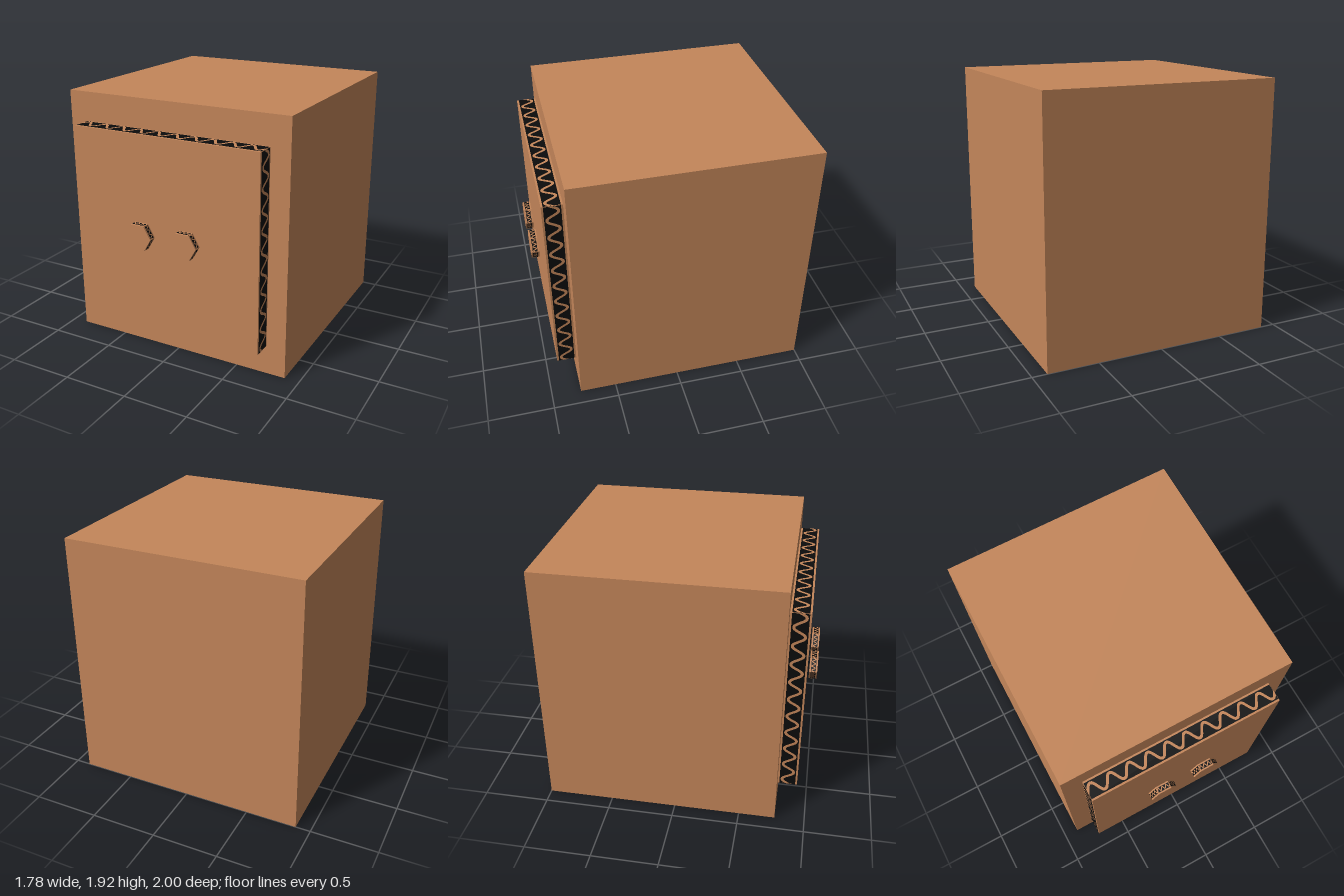
import * as THREE from 'three';

const cardboard = new THREE.MeshStandardMaterial({ color: 0xc4865a });
cardboard.name = 'cardboard brown';
const hollow = new THREE.MeshStandardMaterial({ color: 0x0c0c0c });
hollow.name = 'hollow black';

function add(parent, name, geometry, material, x = 0, y = 0, z = 0) {
  const mesh = new THREE.Mesh(geometry, material);
  mesh.name = name;
  mesh.position.set(x, y, z);
  parent.add(mesh);
  return mesh;
}

// Wavy ribbon running along x, centred on the origin
function ribbonShape(length, waves, amplitude, thickness) {
  const steps = waves * 16;
  const upper = [], lower = [];
  for (let i = 0; i <= steps; i++) {
    const t = i / steps;
    const phase = (t * waves - 0.27) * Math.PI * 2;
    const y = amplitude * Math.cos(phase);
    const slope = -amplitude * Math.sin(phase) * Math.PI * 2 * waves / length;
    const half = thickness / 2 * Math.min(Math.hypot(1, slope), 2.2);
    const x = (t - 0.5) * length;
    upper.push(new THREE.Vector2(x, y + half));
    lower.push(new THREE.Vector2(x, y - half));
  }
  return new THREE.Shape(lower.concat(upper.reverse()));
}

// Corrugated edges laid around a regular prism whose axis is z
function addCorrugation(parent, sides, apothem, length, depth, waves, amplitude, thickness) {
  const gaps = new THREE.PlaneGeometry(length, depth);
  const wave = new THREE.ShapeGeometry(ribbonShape(length, waves, amplitude, thickness));
  for (let k = 0; k < sides; k++) {
    const edge = new THREE.Group();
    edge.name = 'corrugatedEdge';
    edge.rotation.z = -k * Math.PI * 2 / sides;
    add(edge, 'edgeGaps', gaps, hollow, 0, apothem + 0.0015).rotation.x = -Math.PI / 2;
    add(edge, 'edgeWave', wave, cardboard, 0, apothem + 0.003).rotation.x = -Math.PI / 2;
    parent.add(edge);
  }
}

export function createModel() {
  const model = new THREE.Group();
  model.name = 'cardboardBox';

  // Main body
  add(model, 'body', new THREE.BoxGeometry(1.776, 1.925, 1.775), cardboard, 0, 0.9625, -0.1125);

  // Square front panel with corrugated edges
  const panel = new THREE.Group();
  panel.name = 'frontPanel';
  panel.position.set(0, 0.965, 0.849);
  add(panel, 'panelBoard', new THREE.BoxGeometry(1.48, 1.48, 0.148), cardboard);
  addCorrugation(panel, 4, 0.74, 1.476, 0.12, 10, 0.042, 0.02);
  model.add(panel);

  // Two hexagonal knobs standing just clear of the panel
  for (const side of [-1, 1]) {
    const knob = new THREE.Group();
    knob.name = side > 0 ? 'leftKnob' : 'rightKnob';
    knob.position.set(side * 0.185, 0.965, 0.97);
    const prism = new THREE.CylinderGeometry(0.108, 0.108, 0.06, 6).toNonIndexed();
    prism.rotateX(Math.PI / 2);
    prism.rotateZ(Math.PI / 6);
    prism.computeVertexNormals();
    add(knob, 'knobBody', prism, cardboard);
    addCorrugation(knob, 6, 0.0935, 0.1, 0.036, 3, 0.011, 0.008);
    model.add(knob);
  }
  return model;
}
